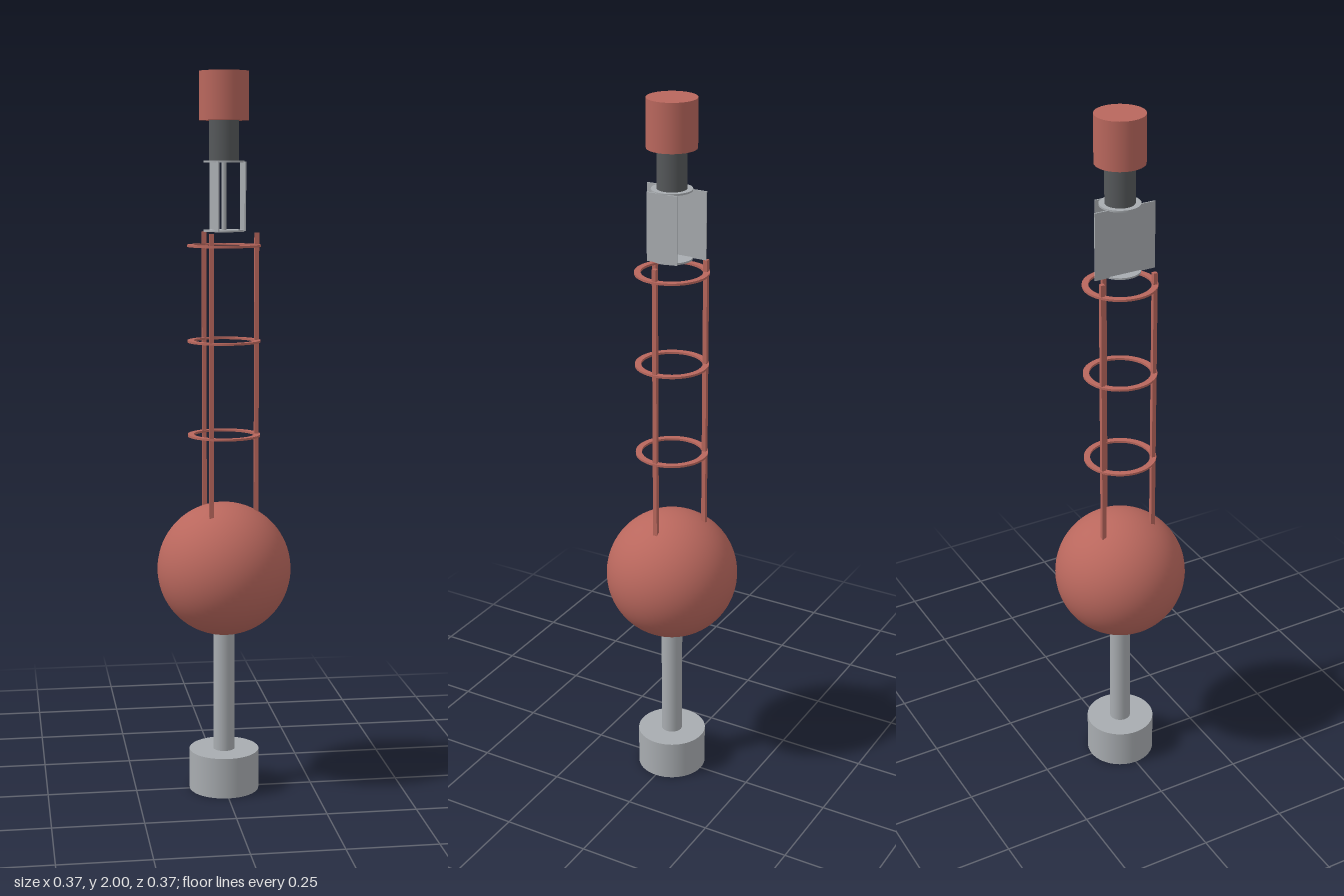
import * as THREE from 'three';

const mat = (name, color, extra) => {
  const m = new THREE.MeshStandardMaterial({ color, ...extra });
  m.name = name;
  return m;
};

export function createModel() {
  const red = mat('fadedRed', 0xb9675d);
  const grey = mat('lightGrey', 0xa8acb0);
  const dark = mat('darkGrey', 0x55585a);
  const group = new THREE.Group();
  group.name = 'buoy';

  const add = (name, geometry, material, x, y, z) => {
    const mesh = new THREE.Mesh(geometry, material);
    mesh.name = name;
    mesh.position.set(x, y, z);
    group.add(mesh);
    return mesh;
  };
  // Upright cylinder between two heights
  const cylinder = (name, radius, y0, y1, material, sides = 48) =>
    add(name, new THREE.CylinderGeometry(radius, radius, y1 - y0, sides), material, 0, (y0 + y1) / 2, 0);

  // Counterweight, stem and float
  cylinder('counterweight', 0.098, 0, 0.115, grey);
  cylinder('stem', 0.03, 0.115, 0.47, grey, 32);
  add('float', new THREE.SphereGeometry(0.186, 64, 40), red, 0, 0.638, 0);

  // Tower legs and reflector plates sit on three spokes but keep the same heading
  for (let i = 0; i < 3; i++) {
    const a = (i * Math.PI * 2) / 3;
    const c = Math.cos(a), s = Math.sin(a);
    add('towerLeg', new THREE.BoxGeometry(0.012, 0.78, 0.012), red, 0.09 * c, 1.18, 0.09 * s);
    add('reflectorPlate', new THREE.BoxGeometry(0.004, 0.185, 0.09), grey, 0.052 * c, 1.668, 0.05 * s);
  }

  // Flat hoops around the tower
  const hoop = new THREE.Shape().absarc(0, 0, 0.1, 0, Math.PI * 2, false);
  hoop.holes.push(new THREE.Path().absarc(0, 0, 0.083, 0, Math.PI * 2, true));
  const hoopGeometry = new THREE.ExtrudeGeometry(hoop, { depth: 0.006, bevelEnabled: false, curveSegments: 48 });
  hoopGeometry.rotateX(-Math.PI / 2);
  for (const y of [1.012, 1.272, 1.532]) add('towerHoop', hoopGeometry, red, 0, y, 0);

  // Reflector core with end discs
  cylinder('reflectorCore', 0.007, 1.575, 1.762, grey, 16);
  cylinder('reflectorBottomDisc', 0.055, 1.573, 1.578, grey);
  cylinder('reflectorTopDisc', 0.055, 1.758, 1.763, grey);

  // Lantern neck and cap
  cylinder('lanternNeck', 0.04, 1.763, 1.87, dark);
  cylinder('lanternCap', 0.067, 1.87, 2, red);

  return group;
}
